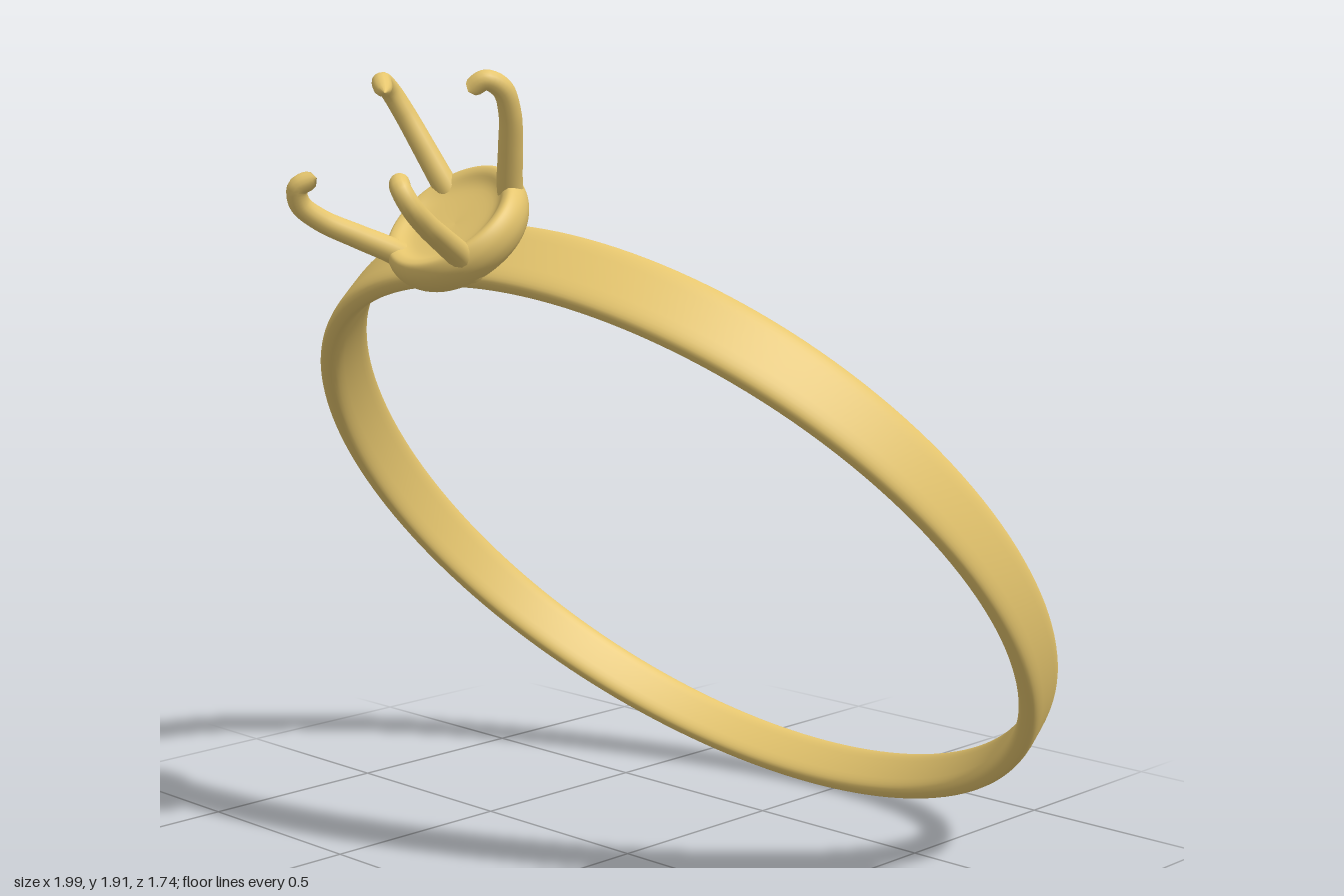
import * as THREE from 'three';

const gold = new THREE.MeshStandardMaterial({ color: 0xe6c66e });

function addMesh(parent, geometry, name) {
  const mesh = new THREE.Mesh(geometry, gold);
  mesh.name = name;
  parent.add(mesh);
  return mesh;
}

// Closed band: a rounded-rectangle section swept round, wider towards the top
function bandGeometry(around = 160, sides = 32) {
  const positions = [], index = [];
  const soft = (v, power) => Math.sign(v) * Math.pow(Math.abs(v), power);
  for (let i = 0; i < around; i++) {
    const a = (i / around) * Math.PI * 2;
    const halfWidth = 0.076 + 0.013 * Math.cos(a);
    for (let j = 0; j < sides; j++) {
      const b = (j / sides) * Math.PI * 2;
      const r = 0.97 + 0.027 * soft(Math.cos(b), 0.65);
      positions.push(r * Math.sin(a), r * Math.cos(a), halfWidth * soft(Math.sin(b), 0.5));
      const ni = ((i + 1) % around) * sides, nj = (j + 1) % sides, ci = i * sides;
      index.push(ci + j, ci + nj, ni + j, ci + nj, ni + nj, ni + j);
    }
  }
  const g = new THREE.BufferGeometry();
  g.setAttribute('position', new THREE.Float32BufferAttribute(positions, 3));
  g.setIndex(index);
  g.computeVertexNormals();
  return g;
}

// Claw: a tube that leans out, hooks inward and tapers to a rounded tip
function clawGeometry() {
  const path = new THREE.CatmullRomCurve3(
    [[0.12, 1.01], [0.148, 1.08], [0.195, 1.16], [0.24, 1.24], [0.255, 1.3], [0.235, 1.337], [0.19, 1.333]]
      .map(([x, y]) => new THREE.Vector3(x, y, 0)));
  const segments = 48, sides = 14;
  const g = new THREE.TubeGeometry(path, segments, 0.031, sides);
  const pos = g.attributes.position, v = new THREE.Vector3();
  for (let i = 0; i <= segments; i++) {
    const t = i / segments, c = path.getPointAt(t);
    const end = Math.max(0, (t - 0.94) / 0.06);
    const scale = (1 - 0.3 * t) * Math.sqrt(Math.max(0, 1 - end * end));
    for (let j = 0; j <= sides; j++) {
      const k = i * (sides + 1) + j;
      v.fromBufferAttribute(pos, k).sub(c).multiplyScalar(scale).add(c);
      pos.setXYZ(k, v.x, v.y, v.z);
    }
  }
  return g;
}

export function createModel() {
  const model = new THREE.Group();
  model.name = 'ring';

  // The whole ring leans forward and is turned slightly
  const tilted = new THREE.Group();
  tilted.name = 'tiltedRing';
  tilted.rotation.set(0.73, 0.03, 0);
  model.add(tilted);

  addMesh(tilted, bandGeometry(), 'band');

  // Shallow rounded setting with a slightly dished top
  const profile = new THREE.SplineCurve(
    [[0, 0.975], [0.09, 0.98], [0.14, 0.997], [0.166, 1.03], [0.172, 1.065], [0.16, 1.092], [0.14, 1.094], [0.1, 1.075], [0, 1.068]]
      .map(([x, y]) => new THREE.Vector2(x, y))).getPoints(48);
  profile.forEach(p => { p.x = Math.max(0, p.x); });
  addMesh(tilted, new THREE.LatheGeometry(profile, 64), 'setting');

  // Four claws on the diagonals
  const claw = clawGeometry();
  for (let k = 0; k < 4; k++) {
    addMesh(tilted, claw, 'claw').rotation.y = Math.PI / 4 + k * Math.PI / 2;
  }

  // Stand on the floor, centred in depth
  model.updateMatrixWorld(true);
  const box = new THREE.Box3().setFromObject(model, true);
  tilted.position.set(0, -box.min.y, -(box.min.z + box.max.z) / 2);
  return model;
}
